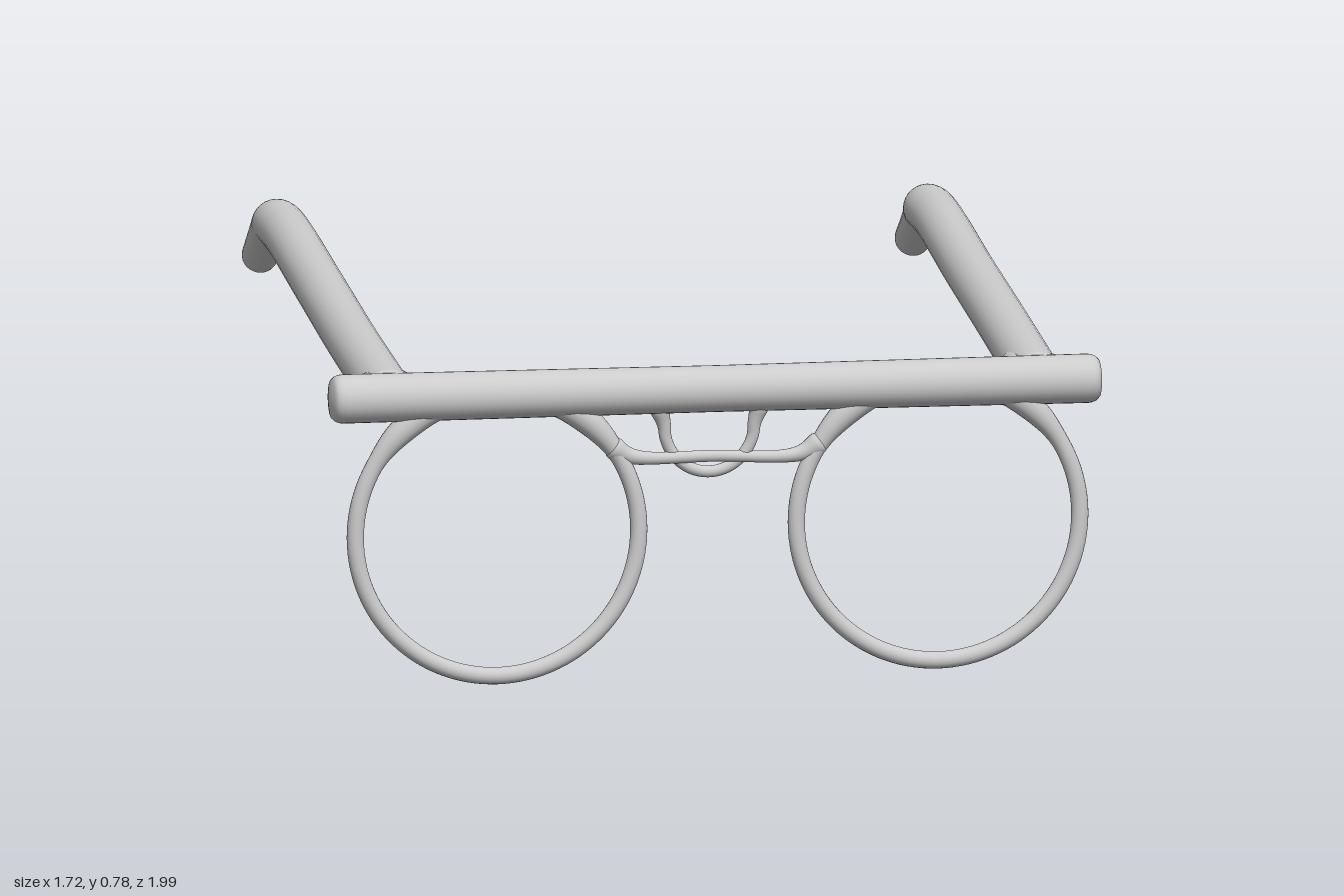
import * as THREE from 'three';
import { mergeVertices } from 'three/addons/utils/BufferGeometryUtils.js';

const material = new THREE.MeshStandardMaterial({ color: 0xcccccc, roughness: 0.6 });
const V = (x, y, z) => new THREE.Vector3(x, y, z);

// depth of the slightly skewed front plane
const frontZ = (x, y = 0.64) => 0.925 - 0.023 * x + 0.017 * (0.64 - y);
// height of the slightly sloping brow bar
const barY = (x) => 0.643 - 0.008 * x;

// Round tube along points; radius(u, point) varies, and open ends get a rounded cap.
function sweep(name, points, radius, { closed = false, cap = 0.03, segments = 64, sides = 24 } = {}) {
  const curve = new THREE.CatmullRomCurve3(points, closed, 'centripetal');
  const length = curve.getLength();
  const tube = new THREE.TubeGeometry(curve, segments, 1, sides, closed);
  const pos = tube.attributes.position;
  const v = new THREE.Vector3();
  for (let i = 0; i <= segments; i++) {
    const u = i / segments;
    const center = curve.getPointAt(u);
    let r = radius(u, center);
    if (!closed) {
      const t = Math.max(0, 1 - (Math.min(u, 1 - u) * length) / cap);
      r *= Math.pow(Math.max(0, 1 - t ** 3), 1 / 3);
    }
    for (let j = 0; j <= sides; j++) {
      const k = i * (sides + 1) + j;
      v.fromBufferAttribute(pos, k).sub(center).multiplyScalar(r).add(center);
      pos.setXYZ(k, v.x, v.y, v.z);
    }
  }
  tube.deleteAttribute('uv');
  tube.deleteAttribute('normal');
  const geometry = mergeVertices(tube, 1e-5);
  geometry.computeVertexNormals();
  const mesh = new THREE.Mesh(geometry, material);
  mesh.name = name;
  return mesh;
}

export function createModel() {
  const group = new THREE.Group();
  group.name = 'glasses';

  // Brow bar
  group.add(sweep('browBar',
    [-0.86, -0.3, 0.3, 0.86].map((x) => V(x, barY(x), frontZ(x))),
    (u) => 0.051 + 0.003 * Math.abs(2 * u - 1), { cap: 0.04, segments: 220, sides: 32 }));

  // Lens rims, thickening where they blend into the bar
  for (const [name, cx] of [['rightRim', -0.485], ['leftRim', 0.495]]) {
    const points = [];
    for (let i = 0; i < 24; i++) {
      const a = (i / 24) * Math.PI * 2;
      const x = cx + 0.315 * Math.cos(a);
      const y = 0.34 + 0.315 * Math.sin(a);
      points.push(V(x, y, frontZ(x, y)));
    }
    group.add(sweep(name, points,
      (u, p) => 0.019 + 0.012 * THREE.MathUtils.smoothstep(p.y, 0.49, 0.6),
      { closed: true, segments: 120, sides: 16 }));
  }

  // Lower bridge, flaring into the rims
  group.add(sweep('bridge',
    [V(-0.235, 0.525, frontZ(-0.23)), V(-0.185, 0.499, frontZ(-0.18)), V(0, 0.494, frontZ(0)),
      V(0.185, 0.492, frontZ(0.18)), V(0.24, 0.52, frontZ(0.24))],
    (u) => 0.013 + 0.018 * Math.abs(2 * u - 1) ** 5, { segments: 80, sides: 16 }));

  // Small loop hanging under the bar
  const loop = [];
  for (let i = 0; i <= 12; i++) {
    const a = Math.PI * (1 + i / 12);
    const y = 0.565 + 0.107 * Math.sin(a);
    loop.push(V(-0.012 + 0.1 * Math.cos(a), y, frontZ(0) - 0.06 * (0.6 - y)));
  }
  loop.unshift(V(-0.125, 0.61, frontZ(0)));
  loop.push(V(0.101, 0.61, frontZ(0)));
  group.add(sweep('centreLoop', loop,
    (u) => 0.013 + 0.016 * Math.abs(2 * u - 1) ** 8, { segments: 80, sides: 16 }));

  // Temple arms with bent ear tips, and blends into the bar
  for (const [side, s, x0, x1, x2, drop] of [
    ['right', -1, -0.722, -0.692, -0.685, 0],
    ['left', 1, 0.718, 0.749, 0.76, 0.012],
  ]) {
    const z0 = frontZ(x0);
    const y0 = barY(x0);
    const xAt = (z) => THREE.MathUtils.lerp(x1, x0, (z + 0.6) / (z0 + 0.6));
    group.add(sweep(side + 'Temple', [
      V(x0, y0 - 0.002, z0), V(xAt(0.4), 0.672 - drop / 2, 0.4), V(xAt(-0.1), 0.705 - drop, -0.1),
      V(x1, 0.734 - drop, -0.58), V(x1, 0.732 - drop, -0.7), V(x2, 0.703 - drop, -0.8),
      V(x2, 0.65 - drop, -0.9), V(x2, 0.599 - drop / 2, -0.982),
    ], (u) => 0.058 - 0.004 * u - 0.014 * THREE.MathUtils.smoothstep(u, 0.8, 1),
    { cap: 0.035, segments: 200, sides: 28 }));

    for (const [reach, back] of [[-s * 0.13, 0.16], [s * 0.075, 0.09]]) {
      const d = Math.sign(reach);
      const y = y0 + 0.002;
      group.add(sweep(side + 'HingeBlend', [
        V(x0 + reach, y, z0 - 0.01), V(x0 + d * 0.045, y, z0 - 0.045), V(x0 + d * 0.014, y + 0.003, z0 - back),
      ], () => 0.043, { cap: 0.04, segments: 40 }));
    }
  }
  return group;
}
